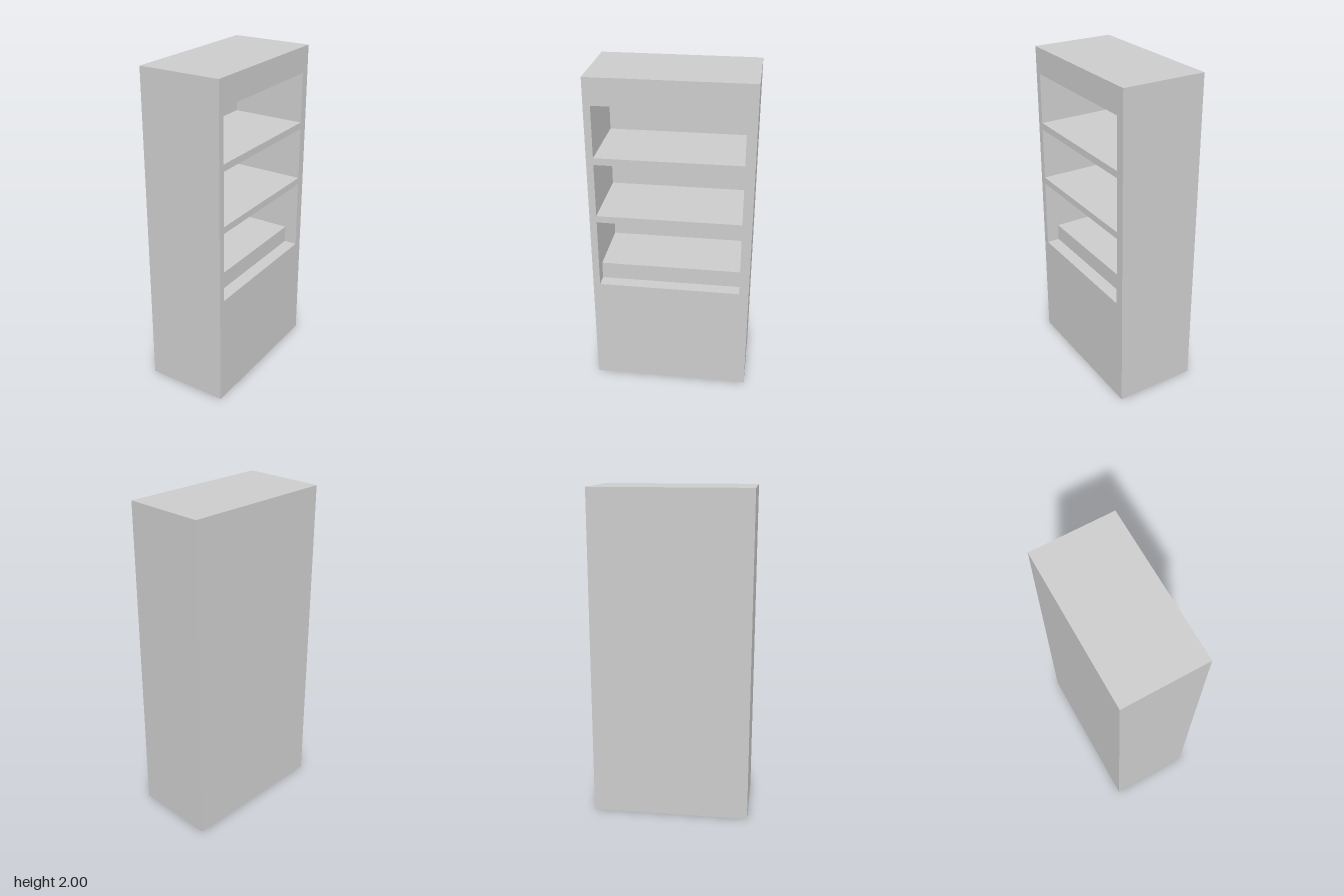
import * as THREE from 'three';

const HALF_W = 0.256, HALF_D = 0.481, HEIGHT = 2;
const BACK = 0.04;                       // thickness of the closed side at -x
const Z_FRONT = 0.439, Z_REAR = -0.423;  // ends of the compartments
const STEP_Y = 0.788, STEP_X = 0.175;    // top and outer face of the raised base
const BAYS = [[0.682, 1.116], [1.158, 1.487], [1.529, 1.84]];

// Rectangle as a closed outline, drawn in (-z, y)
function rect(path, u0, v0, u1, v1) {
  path.moveTo(u0, v0);
  path.lineTo(u1, v0);
  path.lineTo(u1, v1);
  path.lineTo(u0, v1);
  path.closePath();
  return path;
}

export function createModel() {
  const group = new THREE.Group();
  group.name = 'shelfCabinet';
  const material = new THREE.MeshStandardMaterial({ color: 0xcccccc, flatShading: true });

  const add = (name, geometry, x = 0, y = 0, z = 0) => {
    const mesh = new THREE.Mesh(geometry, material);
    mesh.name = name;
    mesh.position.set(x, y, z);
    group.add(mesh);
  };

  // Cabinet frame with three compartments open towards +x
  const outline = rect(new THREE.Shape(), -HALF_D, 0, HALF_D, HEIGHT);
  for (const [y0, y1] of BAYS) {
    outline.holes.push(rect(new THREE.Path(), -Z_FRONT, y0, -Z_REAR, y1));
  }
  const frame = new THREE.ExtrudeGeometry(outline, { depth: 2 * HALF_W - BACK, bevelEnabled: false });
  frame.rotateY(Math.PI / 2);
  add('cabinetFrame', frame, -HALF_W + BACK);

  // Panel closing the compartments at -x
  add('backPanel', new THREE.BoxGeometry(BACK, HEIGHT, 2 * HALF_D), -HALF_W + BACK / 2, HEIGHT / 2);

  // Raised base set back inside the lowest compartment
  const inner = -HALF_W + BACK, floor = BAYS[0][0];
  add('raisedBase', new THREE.BoxGeometry(STEP_X - inner, STEP_Y - floor, Z_FRONT - Z_REAR),
    (STEP_X + inner) / 2, (STEP_Y + floor) / 2, (Z_FRONT + Z_REAR) / 2);

  return group;
}
